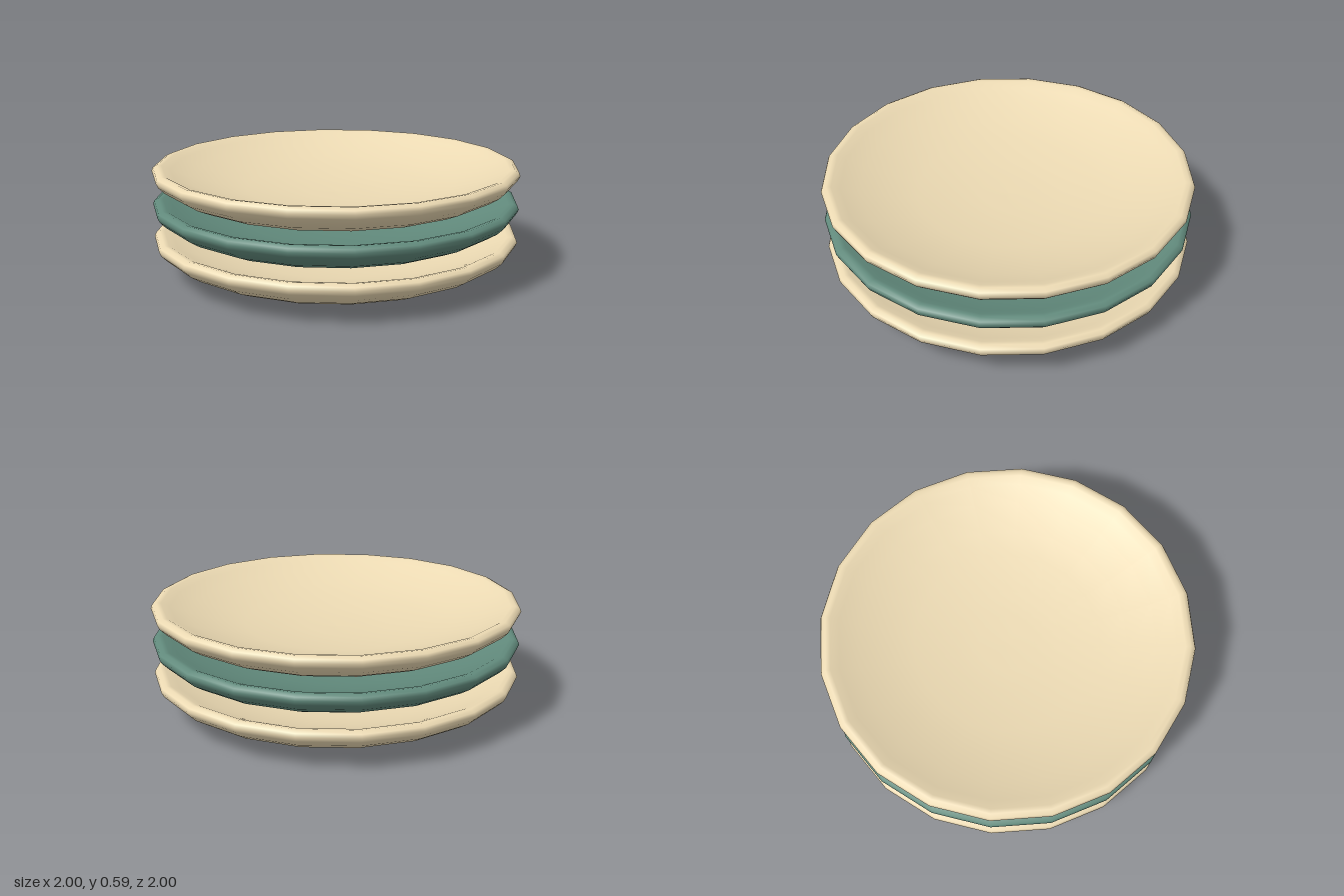
import * as THREE from 'three';

// Plate cross-section [radius, height]: underside, rounded rim, then the dished inside
const profile = [
  [0, 0], [0.18, 0.001], [0.36, 0.003], [0.55, 0.014], [0.7, 0.032], [0.82, 0.062],
  [0.9, 0.097], [0.955, 0.132], [0.988, 0.165], [1, 0.19], [0.993, 0.208], [0.97, 0.22],
  [0.945, 0.216], [0.9, 0.196], [0.8, 0.156], [0.65, 0.113], [0.5, 0.083],
  [0.3, 0.06], [0.15, 0.052], [0, 0.05],
].map(([r, y]) => new THREE.Vector2(r, y));

export function createModel() {
  const group = new THREE.Group();
  group.name = 'plateStack';

  const plate = new THREE.LatheGeometry(profile, 20);
  const cream = new THREE.MeshStandardMaterial({ color: 0xecdab3 });
  const teal = new THREE.MeshStandardMaterial({ color: 0x628b7d });

  // Three identical plates, stacked with an even step
  const spacing = 0.184;
  [['bottomPlate', cream], ['middlePlate', teal], ['topPlate', cream]].forEach(([name, material], i) => {
    const mesh = new THREE.Mesh(plate, material);
    mesh.name = name;
    mesh.position.y = i * spacing;
    group.add(mesh);
  });

  return group;
}
